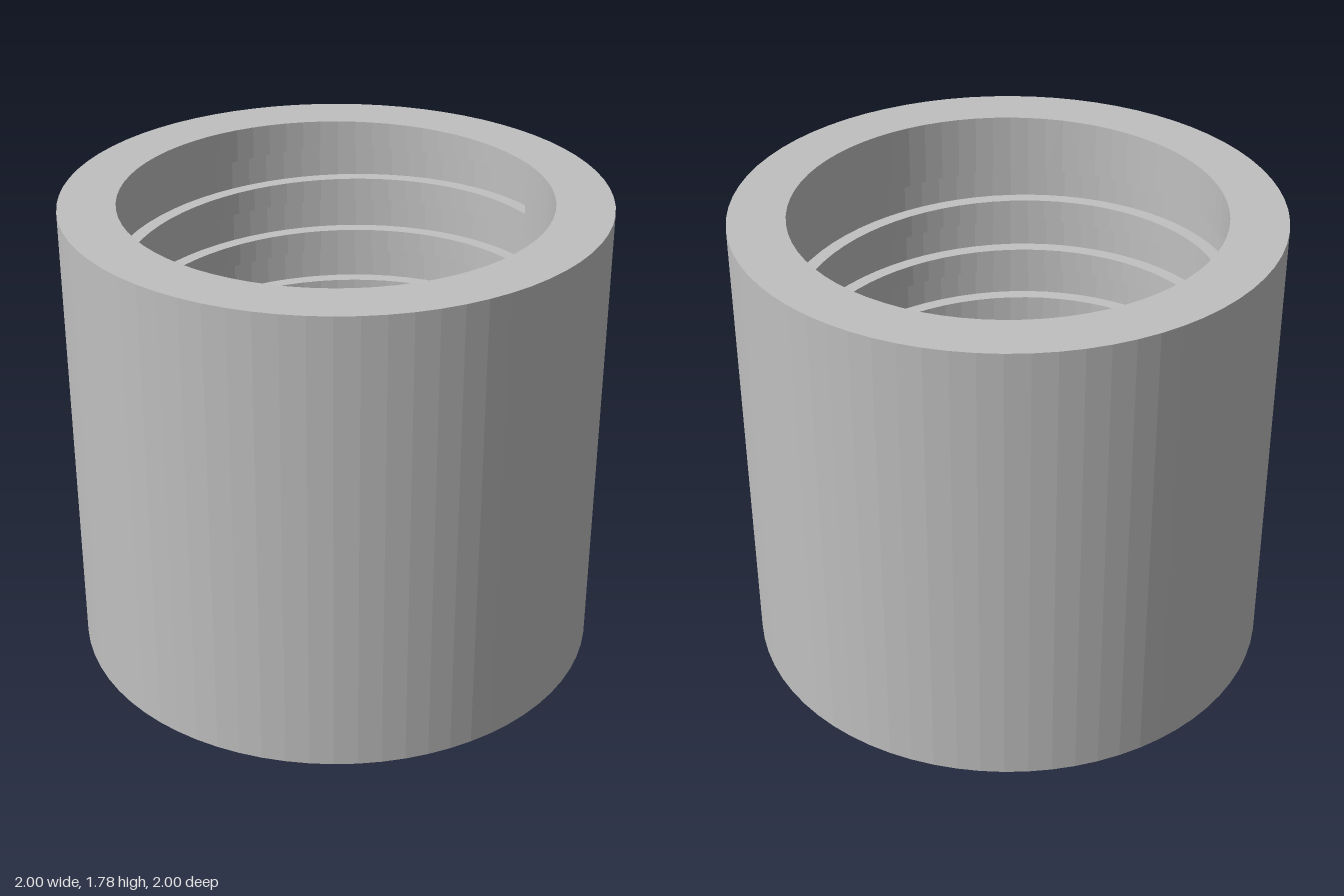
import * as THREE from 'three';

const SEGMENTS = 72;            // facets per turn
const STEPS = 430;              // facets along the spiral groove
const START = Math.PI / 18;     // angle of the groove's upper end
const HEIGHT = 1.78, FLOOR = 0.215;
const OUTER = 1, BORE = 0.79, HOLE = 0.5, GROOVE = 0.843;
const GROOVE_TOP = 1.71, GROOVE_HEIGHT = 0.134, PITCH = 0.2235;

// Heights of the groove's edges after s steps down the spiral
const upper = (s) => GROOVE_TOP - (PITCH * s) / SEGMENTS;
const lower = (s) => upper(s) - GROOVE_HEIGHT;

function point(r, y, s) {
  const a = START + (s * 2 * Math.PI) / SEGMENTS;
  return [r * Math.cos(a), y, -r * Math.sin(a)];
}

function quadGeometry(quads) {
  const positions = quads.flatMap(([a, b, c, d]) => [...a, ...b, ...c, ...a, ...c, ...d]);
  const geometry = new THREE.BufferGeometry();
  geometry.setAttribute('position', new THREE.Float32BufferAttribute(positions, 3));
  geometry.computeVertexNormals();
  return geometry;
}

// One facet from an upper edge (radius, height rule) to a lower edge
function facet(s, rHi, yHi, rLo, yLo) {
  return [
    point(rLo, yLo(s + 1), s + 1), point(rLo, yLo(s), s),
    point(rHi, yHi(s), s), point(rHi, yHi(s + 1), s + 1),
  ];
}

// Closed end of the groove
function endCap(s) {
  return [
    point(GROOVE, lower(s), s), point(BORE, lower(s), s),
    point(BORE, upper(s), s), point(GROOVE, upper(s), s),
  ];
}

export function createModel() {
  const group = new THREE.Group();
  group.name = 'groovedSleeve';
  const grey = new THREE.MeshStandardMaterial({ color: 0xc0c0c0 });
  grey.name = 'grey';

  const add = (name, geometry) => {
    const mesh = new THREE.Mesh(geometry, grey);
    mesh.name = name;
    group.add(mesh);
  };

  // Outer shell: inner floor, through hole, underside, outer wall and rim
  const profile = [
    [BORE, FLOOR], [HOLE, FLOOR], [HOLE, 0], [OUTER, 0], [OUTER, HEIGHT], [BORE, HEIGHT],
  ].map(([r, y]) => new THREE.Vector2(r, y));
  const shell = new THREE.LatheGeometry(profile, SEGMENTS).toNonIndexed();
  shell.computeVertexNormals();
  add('shell', shell);

  // Bore wall above, between and below the turns, and the groove cut into it
  const wall = [], groove = [];
  for (let s = 0; s < STEPS; s++) {
    if (s < SEGMENTS) wall.push(facet(s, BORE, () => HEIGHT, BORE, upper));
    const next = s + SEGMENTS < STEPS ? (t) => upper(t + SEGMENTS) : () => FLOOR;
    wall.push(facet(s, BORE, lower, BORE, next));
    groove.push(
      facet(s, BORE, upper, GROOVE, upper),
      facet(s, GROOVE, upper, GROOVE, lower),
      facet(s, GROOVE, lower, BORE, lower),
    );
  }
  groove.push(endCap(0), endCap(STEPS).reverse());
  add('boreWall', quadGeometry(wall));
  add('spiralGroove', quadGeometry(groove));
  return group;
}
